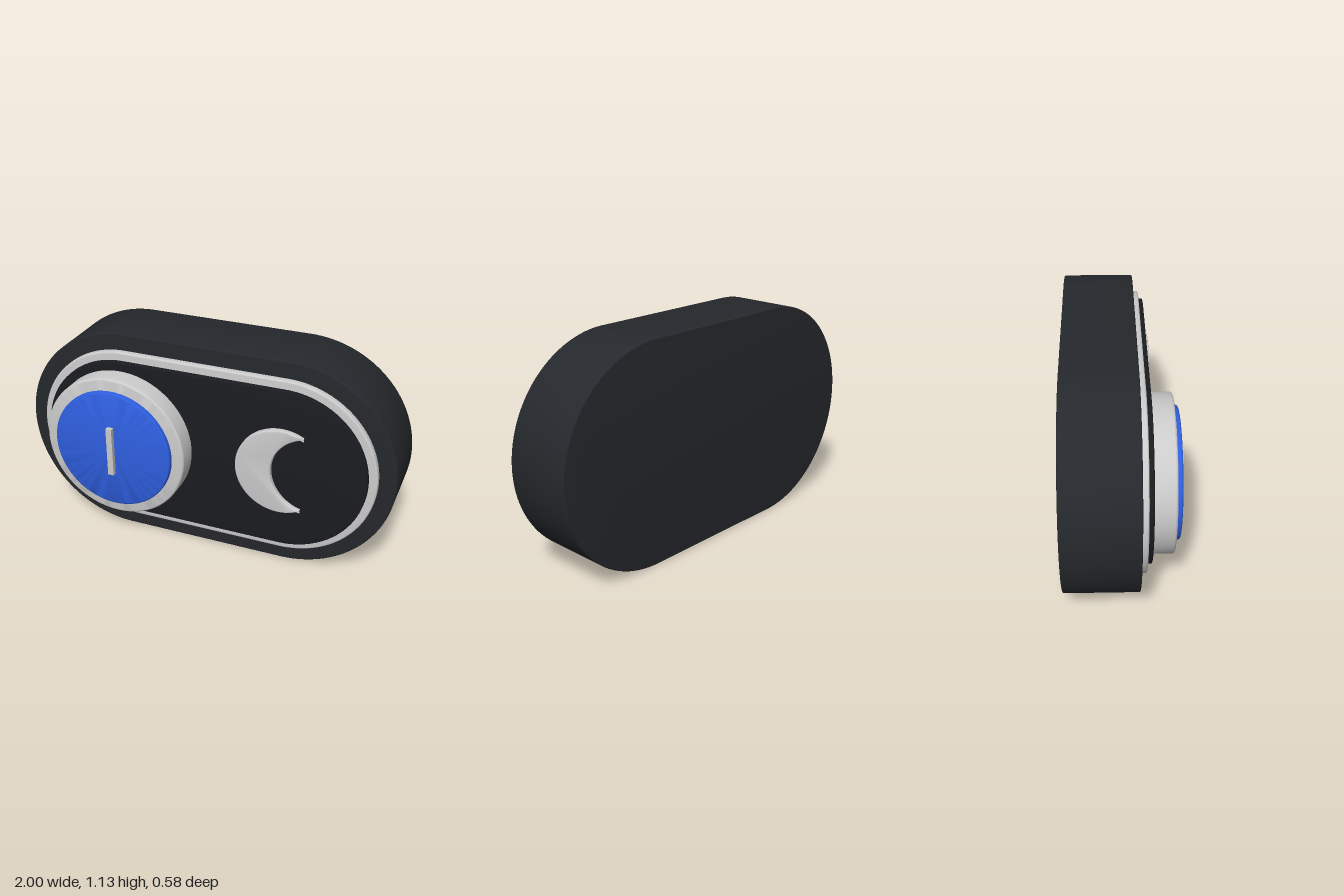
import * as THREE from 'three';
import { toCreasedNormals } from 'three/addons/utils/BufferGeometryUtils.js';

const CY = 0.567; // height of the centre line
const CX = 0.433; // distance of the end-arc centres from the middle

const mat = (color) => new THREE.MeshStandardMaterial({ color });

// Pill outline: two half circles joined by straight edges
function pill(r) {
  const s = new THREE.Shape();
  s.absarc(CX, CY, r, -Math.PI / 2, Math.PI / 2, false);
  s.absarc(-CX, CY, r, Math.PI / 2, Math.PI * 1.5, false);
  s.closePath();
  return s;
}

// Crescent: outer circle cut by a second circle to its right
function crescent() {
  const r = 0.233, cut = 0.211, cutX = 0.596;
  const hx = 0.112, hy = Math.sqrt(r * r - hx * hx);
  const a = Math.atan2(hy, hx);
  const b = Math.atan2(hy, CX + hx - cutX);
  const s = new THREE.Shape();
  s.absarc(CX, CY + 0.003, r, a, Math.PI * 2 - a, false);
  s.absarc(cutX, CY + 0.003, cut, -b, b - Math.PI * 2, true);
  return s;
}

// Slab from z0 to z1 with softly rounded edges
function slab(name, shape, z0, z1, bevel, material) {
  let geo = new THREE.ExtrudeGeometry(shape, {
    depth: z1 - z0 - 2 * bevel,
    bevelEnabled: true,
    bevelThickness: bevel,
    bevelSize: bevel,
    bevelOffset: -bevel,
    bevelSegments: 3,
    curveSegments: 48,
  });
  geo.translate(0, 0, z0 + bevel);
  geo = toCreasedNormals(geo, 0.6);
  const mesh = new THREE.Mesh(geo, material);
  mesh.name = name;
  return mesh;
}

// Round disc facing +z with a rounded front rim
function disc(name, r, z0, z1, bevel, material) {
  const pts = [new THREE.Vector2(0, z0), new THREE.Vector2(r, z0)];
  for (let i = 0; i <= 4; i++) {
    const t = (i / 4) * Math.PI / 2;
    pts.push(new THREE.Vector2(r - bevel + bevel * Math.cos(t), z1 - bevel + bevel * Math.sin(t)));
  }
  pts.push(new THREE.Vector2(0, z1));
  let geo = new THREE.LatheGeometry(pts, 80);
  geo.rotateX(Math.PI / 2);
  geo = toCreasedNormals(geo, 0.6);
  const mesh = new THREE.Mesh(geo, material);
  mesh.name = name;
  mesh.position.set(-CX, CY, 0);
  return mesh;
}

export function createModel() {
  const group = new THREE.Group();
  group.name = 'toggleSwitch';
  const grey = mat(0xcccccc);

  // Housing and stacked front plates
  group.add(slab('housing', pill(0.567), -0.29, 0.075, 0.006, mat(0x25282c)));
  group.add(slab('trimRing', pill(0.479), 0.06, 0.107, 0.008, grey));
  group.add(slab('facePlate', pill(0.436), 0.09, 0.132, 0.005, mat(0x1a1c20)));

  // Round knob with coloured cap
  group.add(disc('knob', 0.389, 0.12, 0.24, 0.012, grey));
  group.add(disc('knobCap', 0.325, 0.23, 0.267, 0.01, mat(0x2f5fe0)));

  // Upright marker bar on the cap
  const bar = new THREE.Mesh(new THREE.BoxGeometry(0.032, 0.268, 0.035), grey);
  bar.name = 'markerBar';
  bar.position.set(-CX, CY, 0.2735);
  group.add(bar);

  // Raised crescent on the free side
  group.add(slab('crescent', crescent(), 0.125, 0.16, 0.006, grey));

  return group;
}
